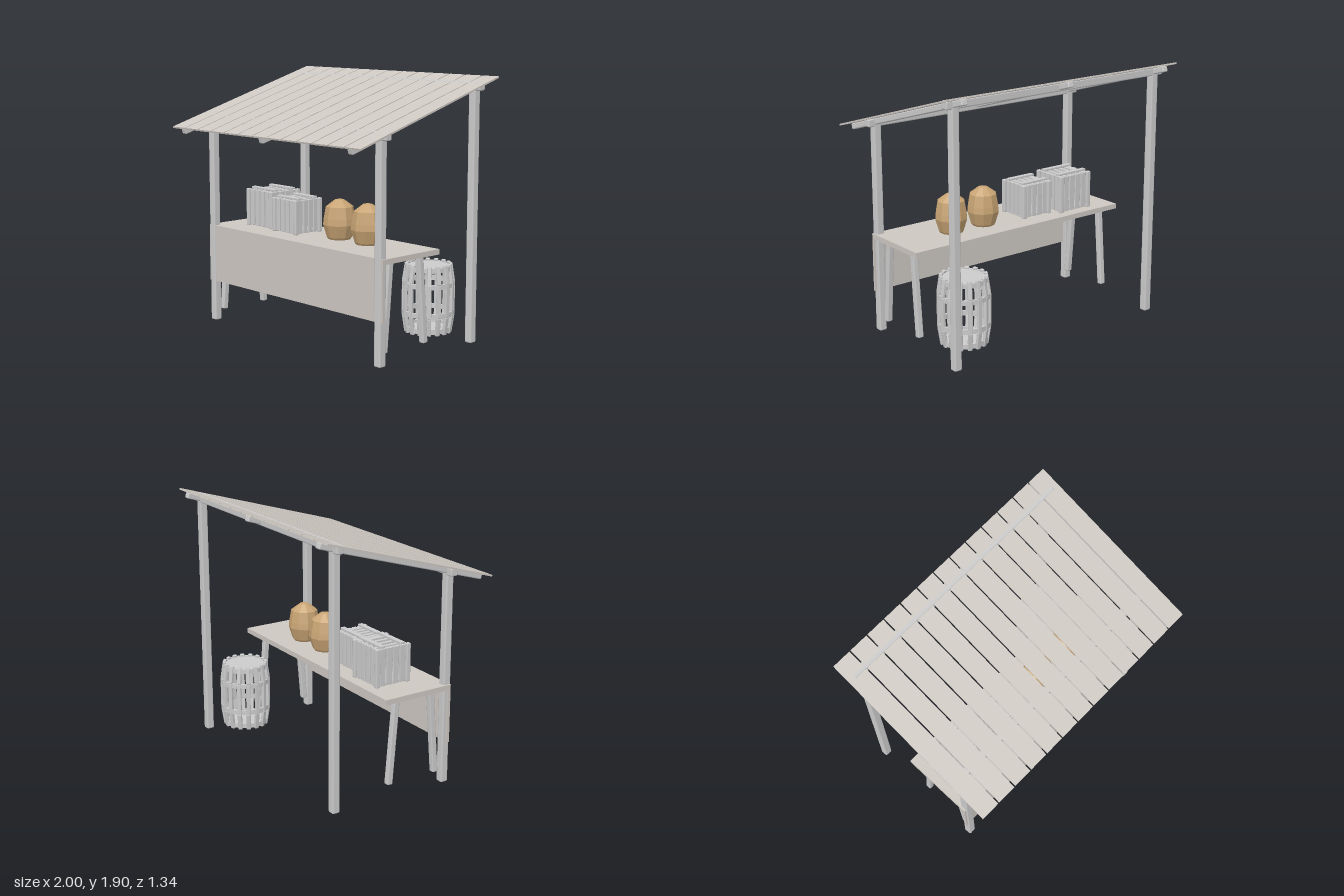
import * as THREE from 'three';
import { RoundedBoxGeometry } from 'three/addons/geometries/RoundedBoxGeometry.js';

const grey = new THREE.MeshStandardMaterial({ color: 0xcccccc });
const board = new THREE.MeshStandardMaterial({ color: 0xcdc7c1 });
const clay = new THREE.MeshStandardMaterial({ color: 0xc8a474, flatShading: true });

function add(parent, name, geometry, material, x = 0, y = 0, z = 0) {
  const mesh = new THREE.Mesh(geometry, material);
  mesh.name = name;
  mesh.position.set(x, y, z);
  parent.add(mesh);
  return mesh;
}

// Timber with chamfered edges
function timber(parent, name, w, h, d, x, y, z) {
  const bevel = Math.min(w, h, d) * 0.2;
  return add(parent, name, new RoundedBoxGeometry(w, h, d, 1, bevel), grey, x, y, z);
}

// Timber running from point a to point b, facing outward by the given turn
function strut(parent, name, w, d, a, b) {
  const dir = b.clone().sub(a);
  const mid = a.clone().add(b).multiplyScalar(0.5);
  const mesh = timber(parent, name, w, dir.length(), d, mid.x, mid.y, mid.z);
  mesh.quaternion.setFromUnitVectors(new THREE.Vector3(0, 1, 0), dir.normalize());
  return mesh;
}

function group(parent, name, x = 0, y = 0, z = 0) {
  const g = new THREE.Group();
  g.name = name;
  g.position.set(x, y, z);
  parent.add(g);
  return g;
}

function buildFrame(root) {
  const frame = group(root, 'frame');
  for (const [label, z, h] of [['front', 0.372, 1.58], ['back', -0.545, 1.862]]) {
    for (const s of [-1, 1]) timber(frame, label + 'Post', 0.06, h, 0.06, s * 0.887, h / 2, z);
    timber(frame, label + 'Beam', 1.92, 0.06, 0.06, 0, h - 0.028, z);
  }
}

function buildRoof(root) {
  const roof = group(root, 'roof', 0, 1.7, 0);
  roof.rotation.x = Math.atan(0.302);
  const count = 13, pitch = 0.1547;
  for (let i = 0; i < count; i++) {
    add(roof, 'roofPlank', new THREE.BoxGeometry(0.144, 0.012, 1.395), board,
      (i - (count - 1) / 2) * pitch, -0.006, 0);
  }
  for (const x of [-0.887, 0, 0.887]) timber(roof, 'rafter', 0.05, 0.044, 1.38, x, -0.033, 0);
}

function buildTable(root) {
  const table = group(root, 'table');
  add(table, 'tabletop', new THREE.BoxGeometry(1.86, 0.038, 0.55), board, 0, 0.72, 0.117);
  add(table, 'frontPanel', new THREE.BoxGeometry(1.86, 0.41, 0.018), board, 0, 0.513, 0.383);
  for (const s of [-1, 1]) {
    for (const [top, foot] of [[0.263, 0.315], [-0.028, -0.08]]) {
      strut(table, 'tableLeg', 0.045, 0.045,
        new THREE.Vector3(s * 0.863, 0.08, foot), new THREE.Vector3(s * 0.863, 0.705, top));
    }
  }
}

// Slatted crate with a ladder-like lid
function buildCrate(root, x, z, w, d, h) {
  const crate = group(root, 'crate', x, 0.739, z);
  const post = 0.034, hx = w / 2 - post / 2, hz = d / 2 - post / 2;
  for (const sx of [-1, 1]) {
    for (const sz of [-1, 1]) timber(crate, 'cratePost', post, h, post, sx * hx, h / 2, sz * hz);
  }
  add(crate, 'crateFloor', new THREE.BoxGeometry(w - 0.04, 0.015, d - 0.04), grey, 0, 0.012, 0);
  for (let i = 0; i < 4; i++) {
    const t = (i - 1.5) / 4;
    const sx = t * (w - 2 * post), sz = t * (d - 2 * post);
    const slatW = (w - 2 * post) / 4 - 0.012, slatD = (d - 2 * post) / 4 - 0.012;
    for (const s of [-1, 1]) {
      timber(crate, 'crateSlat', slatW, h - 0.01, 0.014, sx, h / 2, s * hz);
      timber(crate, 'crateSlat', 0.014, h - 0.01, slatD, s * hx, h / 2, sz);
    }
    timber(crate, 'lidRung', 0.028, 0.014, d - 0.04, sx, h - 0.008, 0);
  }
  for (const s of [-1, 1]) {
    timber(crate, 'lidRail', w - 0.03, 0.016, 0.036, 0, h + 0.006, s * d * 0.29);
    timber(crate, 'topRail', w - 0.05, 0.022, 0.016, 0, h - 0.016, s * (hz - 0.012));
    timber(crate, 'topRail', 0.016, 0.022, d - 0.05, s * (hx - 0.012), h - 0.016, 0);
  }
}

function buildPot(root, x) {
  const profile = [[0, 0], [0.082, 0], [0.092, 0.015], [0.119, 0.105], [0.114, 0.15],
    [0.099, 0.235], [0.035, 0.283], [0, 0.29]].map(([r, y]) => new THREE.Vector2(r, y));
  add(root, 'pot', new THREE.LatheGeometry(profile, 10), clay, x, 0.739, 0.075);
}

// Barrel of bowed three-piece staves held by square hoops
function buildBarrel(root) {
  const barrel = group(root, 'barrel', 0.665, 0, -0.338);
  const bow = [[0.157, 0.08], [0.177, 0.21], [0.177, 0.45], [0.157, 0.58]];
  const staves = 16;
  for (let i = 0; i < staves; i++) {
    const stave = group(barrel, 'stave');
    stave.rotation.y = (i / staves) * Math.PI * 2;
    for (let k = 0; k < 3; k++) {
      strut(stave, 'stavePiece', 0.032, 0.024,
        new THREE.Vector3(0, bow[k][1], bow[k][0]), new THREE.Vector3(0, bow[k + 1][1], bow[k + 1][0]));
    }
  }
  for (const [y, r] of [[0.11, 0.162], [0.225, 0.18], [0.435, 0.18], [0.55, 0.162]]) {
    const hoop = [[r - 0.012, y - 0.017], [r + 0.008, y - 0.017], [r + 0.008, y + 0.017],
      [r - 0.012, y + 0.017], [r - 0.012, y - 0.017]].map(([a, b]) => new THREE.Vector2(a, b));
    const flat = grey.clone();
    flat.flatShading = true;
    add(barrel, 'hoop', new THREE.LatheGeometry(hoop, staves), flat);
  }
  for (const y of [0.1, 0.556]) {
    add(barrel, 'barrelEnd', new THREE.CylinderGeometry(0.153, 0.153, 0.014, staves), grey, 0, y, 0);
  }
}

export function createModel() {
  const root = new THREE.Group();
  root.name = 'marketStall';
  buildFrame(root);
  buildRoof(root);
  buildTable(root);
  buildCrate(root, -0.575, 0.055, 0.295, 0.29, 0.28);
  buildCrate(root, -0.252, 0.1, 0.268, 0.262, 0.253);
  for (const x of [0.178, 0.464]) buildPot(root, x);
  buildBarrel(root);
  return root;
}
